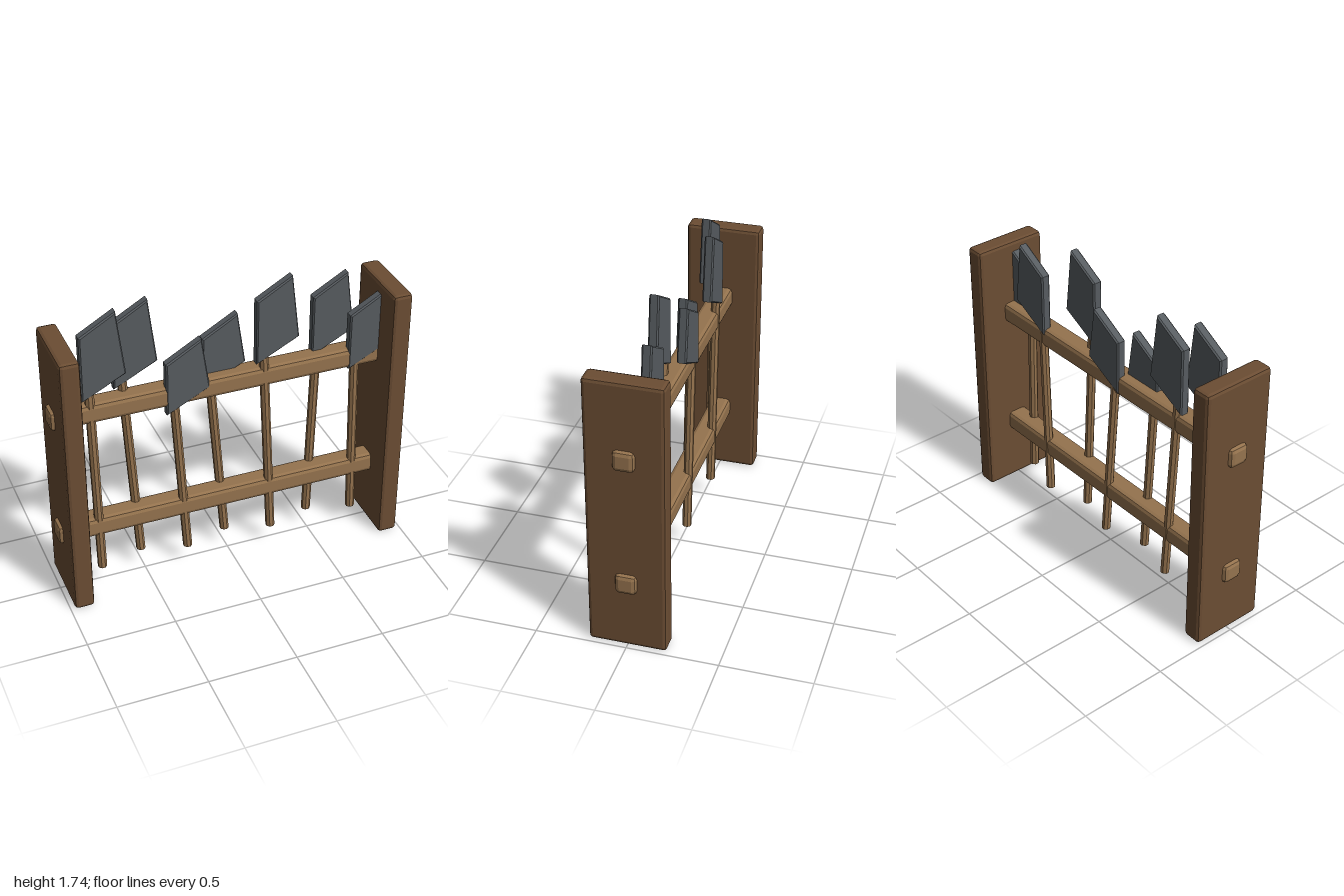
import * as THREE from 'three';
import { RoundedBoxGeometry } from 'three/addons/geometries/RoundedBoxGeometry.js';

const material = (name, color) => Object.assign(new THREE.MeshStandardMaterial({ color }), { name });

// Faceted normals for crisp, low-poly edges
function faceted(geometry) {
  const g = geometry.index ? geometry.toNonIndexed() : geometry;
  g.computeVertexNormals();
  return g;
}

// Box with chamfered edges
const chamferBox = (w, h, d, c) => faceted(new RoundedBoxGeometry(w, h, d, 1, c));

// Upright pole leaning in x, with both ends cut level
function leaningPole(x0, y0, x1, y1, radius) {
  const h = y1 - y0;
  const g = new THREE.CylinderGeometry(radius, radius, h, 8);
  g.rotateY(Math.PI / 8);
  const shear = new THREE.Matrix4().set(
    1, (x1 - x0) / h, 0, (x0 + x1) / 2,
    0, 1, 0, (y0 + y1) / 2,
    0, 0, 1, 0,
    0, 0, 0, 1);
  return faceted(g.applyMatrix4(shear));
}

// Slanted blade plate; (x, y) is its lower left corner
function bladePlate(x, y, height) {
  const bevel = 0.008, depth = 0.054;
  const shape = new THREE.Shape([
    new THREE.Vector2(x, y),
    new THREE.Vector2(x + 0.245, y + 0.125),
    new THREE.Vector2(x + 0.2, y + height + 0.115),
    new THREE.Vector2(x, y + height),
  ]);
  const g = new THREE.ExtrudeGeometry(shape, {
    depth: depth - 2 * bevel, bevelEnabled: true, bevelSegments: 1,
    bevelSize: bevel, bevelThickness: bevel, bevelOffset: -bevel,
  });
  g.translate(0, 0, bevel - depth / 2);
  return faceted(g);
}

export function createModel() {
  const model = new THREE.Group();
  model.name = 'toolRack';
  const darkWood = material('darkWood', 0x6b4d33);
  const lightWood = material('lightWood', 0x95734e);
  const steel = material('steel', 0x575c60);

  const add = (parent, name, geometry, mat, x = 0, y = 0, z = 0) => {
    const mesh = new THREE.Mesh(geometry, mat);
    mesh.name = name;
    mesh.position.set(x, y, z);
    parent.add(mesh);
  };

  // End boards
  for (const side of [-1, 1]) {
    add(model, side > 0 ? 'leftBoard' : 'rightBoard',
      chamferBox(0.112, 1.575, 0.425, 0.02), darkWood, side * 0.92, 0.7875, 0);
  }

  // Rails running through the boards
  add(model, 'lowerRail', chamferBox(2, 0.115, 0.117, 0.024), lightWood, 0, 0.4, 0);
  add(model, 'upperRail', chamferBox(2, 0.115, 0.117, 0.024), lightWood, 0, 1.143, 0);

  // Tools: handle foot x, handle top x, blade x, blade y, blade height
  const tools = [
    [-0.76, -0.78, -0.825, 1.23, 0.385],
    [-0.51, -0.58, -0.63, 1.22, 0.385],
    [-0.255, -0.316, -0.365, 1.035, 0.315],
    [-0.005, -0.088, -0.135, 1.1, 0.315],
    [0.25, 0.193, 0.145, 1.235, 0.385],
    [0.505, 0.537, 0.5, 1.165, 0.365],
    [0.755, 0.733, 0.69, 1.08, 0.335],
  ];
  tools.forEach(([footX, topX, bladeX, bladeY, bladeH], i) => {
    const tool = new THREE.Group();
    tool.name = 'tool' + (i + 1);
    tool.position.z = i % 2 === 0 ? 0.034 : -0.038;
    add(tool, 'handle', leaningPole(footX, 0.113, topX, bladeY + 0.06, 0.026), lightWood);
    add(tool, 'blade', bladePlate(bladeX, bladeY, bladeH), steel);
    model.add(tool);
  });

  return model;
}
